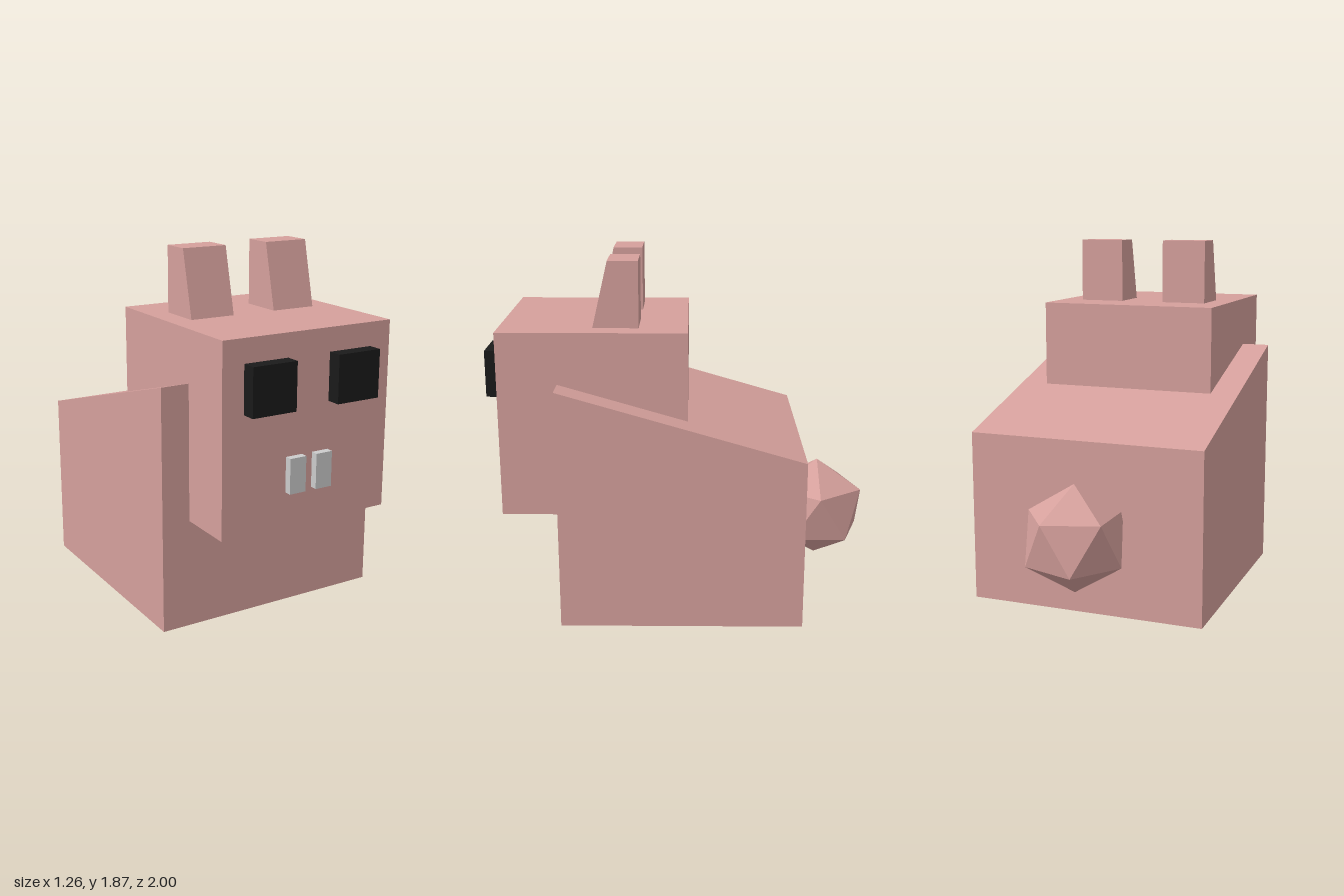
import * as THREE from 'three';

const material = (color) => new THREE.MeshStandardMaterial({ color, flatShading: true });

export function createModel() {
  const model = new THREE.Group();
  const pink = material(0xd5a09c);
  const black = material(0x1a1a1a);
  const grey = material(0xcccccc);

  const add = (name, geometry, mat) => {
    const mesh = new THREE.Mesh(geometry, mat);
    mesh.name = name;
    model.add(mesh);
    return mesh;
  };

  // Box given by its lower and upper corners
  const block = (name, [x0, y0, z0], [x1, y1, z1], mat) =>
    add(name, new THREE.BoxGeometry(x1 - x0, y1 - y0, z1 - z0), mat)
      .position.set((x0 + x1) / 2, (y0 + y1) / 2, (z0 + z1) / 2);

  // Side outline of [z, y] points, extruded from x0 to x1
  const sideProfile = (name, points, x0, x1, mat) => {
    const shape = new THREE.Shape(points.map(([z, y]) => new THREE.Vector2(-z, y)));
    const geometry = new THREE.ExtrudeGeometry(shape, { depth: x1 - x0, bevelEnabled: false });
    geometry.rotateY(Math.PI / 2).translate(x0, 0, 0);
    add(name, geometry, mat);
  };

  // Body with a back that slopes down to the tail
  sideProfile('body', [[0.62, 0], [-0.64, 0], [-0.64, 0.9], [0.62, 1.265]], -0.63, 0.63, pink);

  // Head
  block('head', [-0.48, 0.565, -0.04], [0.48, 1.53, 0.925], pink);

  // Ears, eyes and teeth in mirrored pairs
  for (const [side, s] of [['left', 1], ['right', -1]]) {
    const span = (a, b) => (s > 0 ? [a, b] : [-b, -a]);
    const [x0, x1] = span(0.12, 0.363);
    sideProfile(side + 'Ear', [[0.445, 1.53], [0.21, 1.53], [0.21, 1.87], [0.365, 1.87]], x0, x1, pink);
    block(side + 'Eye', [x0, 1.168, 0.9], [x1, 1.41, 1], black);
    const [t0, t1] = span(0.03, 0.122);
    block(side + 'Tooth', [t0, 0.745, 0.9], [t1, 0.925, 0.963], grey);
  }

  // Faceted tail, turned so that a corner points straight up
  const tail = new THREE.IcosahedronGeometry(0.28, 0);
  tail.rotateZ(-Math.atan(2 / (1 + Math.sqrt(5))));
  add('tail', tail, pink).position.set(0, 0.43, -0.76);

  // Centre the depth on z = 0
  model.updateMatrixWorld(true);
  return model;
}
